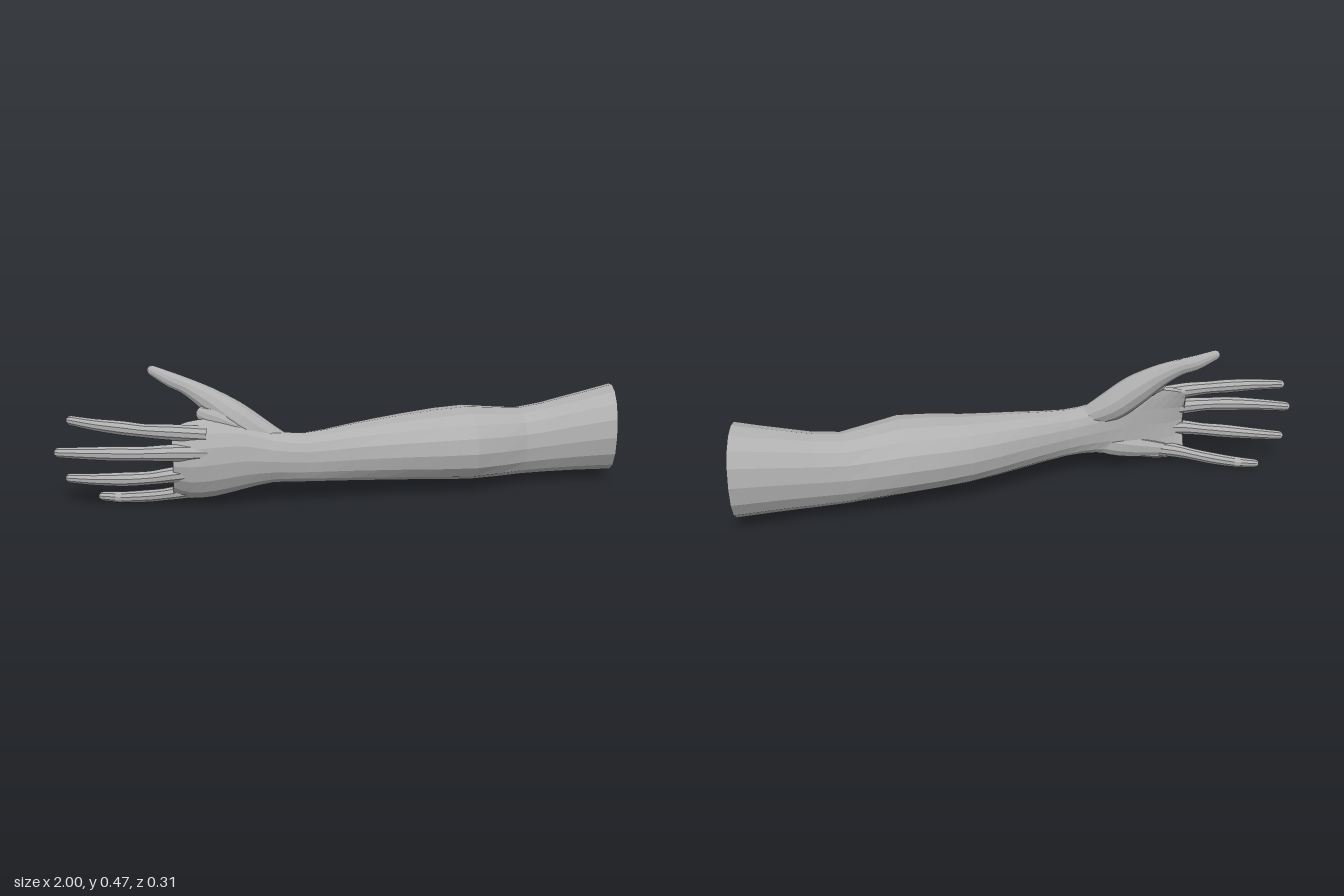
import * as THREE from 'three';

const skin = new THREE.MeshStandardMaterial({ color: 0xb0b0b0 });
skin.name = 'plain grey';

// Skin a list of closed rings and cap both ends; faceted normals
function loft(name, rings) {
  const n = rings[0].length, pos = [], index = [];
  rings.forEach(r => r.forEach(p => pos.push(p.x, p.y, p.z)));
  for (let i = 0; i < rings.length - 1; i++) {
    for (let j = 0; j < n; j++) {
      const k = (j + 1) % n, a = i * n, b = a + n;
      index.push(a + j, a + k, b + j, a + k, b + k, b + j);
    }
  }
  const last = (rings.length - 1) * n;
  [0, last].forEach((start, end) => {
    const c = new THREE.Vector3();
    rings[end ? rings.length - 1 : 0].forEach(p => c.addScaledVector(p, 1 / n));
    const centre = pos.length / 3;
    pos.push(c.x, c.y, c.z);
    for (let j = 0; j < n; j++) {
      const k = (j + 1) % n;
      if (end) index.push(centre, start + j, start + k);
      else index.push(centre, start + k, start + j);
    }
  });
  let g = new THREE.BufferGeometry();
  g.setAttribute('position', new THREE.Float32BufferAttribute(pos, 3));
  g.setIndex(index);
  g = g.toNonIndexed();
  g.computeVertexNormals();
  const mesh = new THREE.Mesh(g, skin);
  mesh.name = name;
  return mesh;
}

// Smoothly interpolate three columns of a station table
const track = (rows, cols) => new THREE.CatmullRomCurve3(
  rows.map(r => new THREE.Vector3(...cols.map(c => r[c]))), false, 'catmullrom', 0.5);

// Forearm and palm: [x, y bottom, y top, z back, z front, end slant, palm cup]
function arm() {
  const rows = [
    [0.966, 0.030, 0.345, -0.153, 0.124, 0.22, 0],
    [0.80, 0.032, 0.308, -0.138, 0.095, 0.10, 0],
    [0.62, 0.032, 0.276, -0.130, 0.082, 0, 0],
    [0.42, 0.040, 0.298, -0.157, 0.148, 0, 0],
    [0.20, 0.050, 0.282, -0.135, 0.118, 0, 0],
    [0.00, 0.064, 0.265, -0.080, 0.098, 0, 0],
    [-0.17, 0.076, 0.250, -0.034, 0.087, 0, 0],
    [-0.28, 0.078, 0.268, -0.030, 0.086, 0, 0.01],
    [-0.38, 0.056, 0.305, -0.025, 0.082, 0, 0.02],
    [-0.48, 0.035, 0.315, -0.010, 0.080, 0, 0.03],
    [-0.56, 0.032, 0.305, 0.000, 0.068, 0, 0.04],
    [-0.615, 0.055, 0.285, 0.015, 0.050, 0, 0.04],
  ];
  const a = track(rows, [0, 1, 2]), b = track(rows, [3, 4, 5]), c = track(rows, [6, 0, 0]);
  const steps = (rows.length - 1) * 2, sides = 16, rings = [];
  for (let i = 0; i <= steps; i++) {
    const p = a.getPoint(i / steps), q = b.getPoint(i / steps), cup = c.getPoint(i / steps).x;
    const ring = [];
    for (let j = 0; j < sides; j++) {
      const t = (j / sides) * Math.PI * 2, co = Math.cos(t), si = Math.sin(t);
      const soft = v => Math.sign(v) * Math.abs(v) ** 0.93;
      const y = (p.y + p.z) / 2 + soft(co) * (p.z - p.y) / 2;
      const z = (q.x + q.y) / 2 - soft(si) * (q.y - q.x) / 2 - cup * co * co;
      ring.push(new THREE.Vector3(p.x - Math.max(0, q.z) * z, y, z));
    }
    rings.push(ring);
  }
  return loft('forearmAndPalm', rings);
}

// Digit along stations [x, y, z, radius], closed by a rounded tip
function digit(name, rows, flat = 1, sides = 10) {
  const path = track(rows, [0, 1, 2]), radius = track(rows, [3, 3, 3]);
  const steps = (rows.length - 1) * 3, rings = [];
  const addRing = (centre, dir, r) => {
    const u = new THREE.Vector3(0, 0, 1).cross(dir).normalize();
    const v = dir.clone().cross(u);
    const ring = [];
    for (let j = 0; j < sides; j++) {
      const t = (j / sides) * Math.PI * 2;
      ring.push(centre.clone().addScaledVector(u, r * Math.cos(t)).addScaledVector(v, r * flat * Math.sin(t)));
    }
    rings.push(ring);
  };
  for (let i = 0; i <= steps; i++) {
    addRing(path.getPoint(i / steps), path.getTangent(i / steps), radius.getPoint(i / steps).x);
  }
  const end = path.getPoint(1), dir = path.getTangent(1), r = rows[rows.length - 1][3];
  for (const t of [0.5, 1, 1.4]) {
    addRing(end.clone().addScaledVector(dir, r * Math.sin(t)), dir, r * Math.cos(t));
  }
  return loft(name, rings);
}

export function createModel() {
  const model = new THREE.Group();
  model.name = 'armWithOpenHand';
  model.add(arm());

  // Four fingers, curling gently towards the palm side
  model.add(digit('indexFinger', [
    [-0.50, 0.268, 0.030, 0.028], [-0.62, 0.280, 0.018, 0.028], [-0.70, 0.286, 0.004, 0.024],
    [-0.77, 0.293, -0.018, 0.025], [-0.86, 0.301, -0.050, 0.021], [-0.937, 0.309, -0.090, 0.017]]));
  model.add(digit('middleFinger', [
    [-0.50, 0.208, 0.044, 0.030], [-0.62, 0.212, 0.034, 0.030], [-0.71, 0.213, 0.024, 0.025],
    [-0.79, 0.213, 0.006, 0.026], [-0.89, 0.211, -0.026, 0.022], [-0.982, 0.208, -0.063, 0.018]]));
  model.add(digit('ringFinger', [
    [-0.50, 0.142, 0.036, 0.029], [-0.61, 0.133, 0.026, 0.028], [-0.69, 0.122, 0.010, 0.024],
    [-0.77, 0.115, -0.014, 0.025], [-0.87, 0.109, -0.052, 0.021], [-0.952, 0.107, -0.088, 0.017]]));
  model.add(digit('littleFinger', [
    [-0.46, 0.078, 0.018, 0.028], [-0.57, 0.060, -0.006, 0.026], [-0.64, 0.045, -0.030, 0.022],
    [-0.70, 0.034, -0.056, 0.022], [-0.78, 0.024, -0.090, 0.020], [-0.848, 0.022, -0.120, 0.016]]));

  // Thumb with its fleshy base and the web beside it
  model.add(digit('thumb', [
    [-0.24, 0.215, 0.020, 0.036], [-0.33, 0.258, 0.000, 0.055], [-0.41, 0.315, -0.018, 0.056],
    [-0.485, 0.370, -0.046, 0.042], [-0.55, 0.408, -0.076, 0.030], [-0.60, 0.428, -0.100, 0.027],
    [-0.66, 0.458, -0.122, 0.018]], 0.9, 12));
  model.add(digit('thumbWeb', [
    [-0.36, 0.255, 0.018, 0.050], [-0.44, 0.300, 0.006, 0.045], [-0.50, 0.325, -0.015, 0.028]], 0.6));

  // Fleshy heel of the palm on the little finger side
  model.add(digit('palmHeel', [
    [-0.26, 0.125, 0.020, 0.030], [-0.34, 0.110, 0.005, 0.045], [-0.43, 0.090, 0.002, 0.042],
    [-0.53, 0.070, 0.000, 0.028]], 0.75));
  return model;
}
